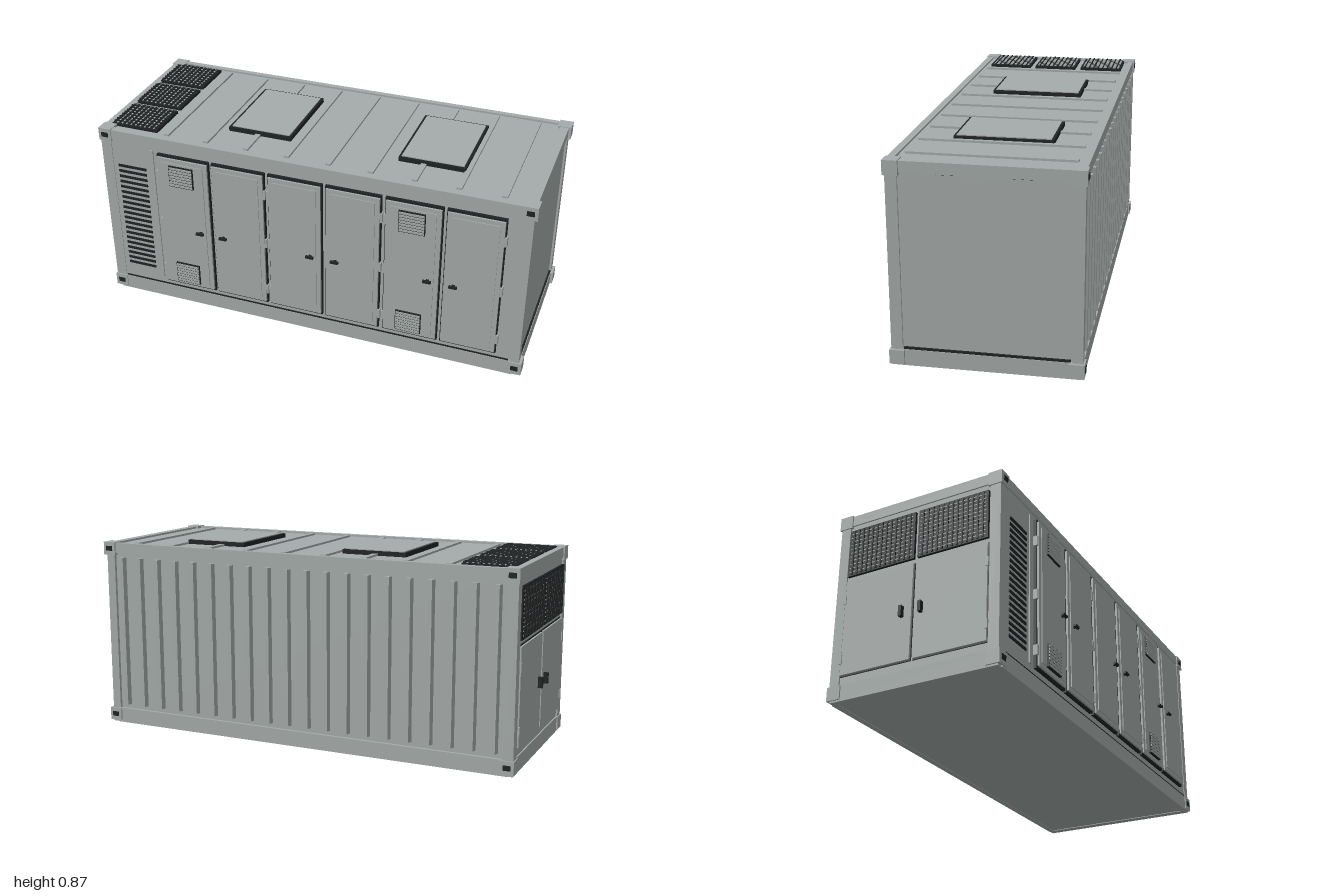
import * as THREE from 'three';

export function createModel() {
  const root = new THREE.Group();
  root.name = 'equipmentContainer';
  const grey = new THREE.MeshStandardMaterial({ color: 0xa5acaa });
  grey.name = 'panelGrey';
  const dark = new THREE.MeshStandardMaterial({ color: 0x202324 });
  dark.name = 'rubberBlack';

  // Box given by its min and max on each axis
  function box(name, mat, x0, x1, y0, y1, z0, z1, parent = root) {
    const m = new THREE.Mesh(new THREE.BoxGeometry(x1 - x0, y1 - y0, z1 - z0), mat);
    m.position.set((x0 + x1) / 2, (y0 + y1) / 2, (z0 + z1) / 2);
    m.name = name;
    parent.add(m);
    return m;
  }
  function group(name) {
    const g = new THREE.Group();
    g.name = name;
    root.add(g);
    return g;
  }

  // Shell and frame
  const frame = group('frame');
  box('shell', grey, -0.968, 0.976, 0.003, 0.848, -0.392, 0.365, frame);
  for (const [y0, y1] of [[0, 0.07], [0.81, 0.857]]) {
    box('frontRail', grey, -0.95, 0.96, y0, y1, 0.34, 0.37, frame);
    box('backRail', grey, -0.95, 0.96, y0, y1, -0.405, -0.38, frame);
    box('leftEndRail', grey, 0.95, 0.987, y0, y1, -0.40, 0.365, frame);
    box('rightEndRail', grey, -0.974, -0.94, y0, y1, -0.40, 0.365, frame);
  }
  for (const [x0, x1] of [[-0.975, -0.925], [0.945, 0.985]]) {
    box('frontPost', grey, x0, x1, 0.05, 0.82, 0.32, 0.368, frame);
    box('backPost', grey, x0, x1, 0.05, 0.82, -0.405, -0.36, frame);
  }

  // Corner castings with their lifting holes
  const corners = group('cornerCastings');
  for (const x0 of [-0.98, 0.938])
    for (const y0 of [0.008, 0.8])
      for (const front of [true, false]) {
        const z0 = front ? 0.312 : -0.412;
        box('casting', grey, x0, x0 + 0.06, y0, y0 + 0.06, z0, z0 + 0.062, corners);
        const zf = front ? 0.374 : -0.415;
        box('castingHole', dark, x0 + 0.014, x0 + 0.046, y0 + 0.02, y0 + 0.042, zf, zf + 0.003, corners);
      }

  // Dark seals above the lower rails and under the end header
  box('frontSeal', dark, -0.92, 0.938, 0.07, 0.077, 0.36, 0.368);
  box('leftEndSeal', dark, 0.97, 0.984, 0.07, 0.079, -0.355, 0.315);
  for (const z of [0.13, -0.17])
    box('headerSlot', dark, 0.97, 0.98, 0.807, 0.812, z - 0.04, z + 0.04);

  // Trapezoid ribs on the back wall
  const ribShape = new THREE.Shape([
    [-0.016, 0], [0.016, 0], [0.008, 0.019], [-0.008, 0.019],
  ].map(([x, y]) => new THREE.Vector2(x, y)));
  const ribGeo = new THREE.ExtrudeGeometry(ribShape, { depth: 0.7, bevelEnabled: false });
  ribGeo.rotateX(Math.PI / 2).rotateY(Math.PI).translate(0, 0.79, -0.391);
  const backRibs = group('backRibs');
  for (let i = 0; i < 20; i++) {
    const rib = new THREE.Mesh(ribGeo, grey);
    rib.name = 'backRib';
    rib.position.x = -0.89 + i * 0.0945;
    backRibs.add(rib);
  }

  // Low roof ribs
  const roof = group('roof');
  for (let i = 0; i < 9; i++) {
    const x = -0.67 + i * 0.19;
    box('roofRib', grey, x - 0.012, x + 0.012, 0.845, 0.857, -0.36, 0.32, roof);
  }

  // Roof hatches: dark rim around a plain lid
  for (const x0 of [-0.43, 0.357]) {
    const x1 = x0 + 0.295;
    box('hatchRim', dark, x0, x1, 0.845, 0.867, -0.232, 0.178, roof);
    box('hatchLid', grey, x0 + 0.011, x1 - 0.011, 0.86, 0.871, -0.221, 0.167, roof);
  }

  // Roof grilles
  for (const z0 of [-0.36, -0.127, 0.105]) {
    const z1 = z0 + 0.205;
    box('roofGrille', dark, -0.945, -0.72, 0.845, 0.86, z0, z1, roof);
    for (let i = 1; i < 10; i++) {
      const x = -0.945 + i * 0.0225;
      box('roofGrilleBar', grey, x - 0.003, x + 0.003, 0.857, 0.863, z0 + 0.01, z1 - 0.01, roof);
    }
    for (let i = 1; i < 9; i++) {
      const z = z0 + i * 0.0228;
      box('roofGrilleCrossBar', dark, -0.945, -0.72, 0.858, 0.865, z - 0.003, z + 0.003, roof);
    }
  }

  // Slotted air intake beside the front doors
  const intake = group('frontIntake');
  for (let i = 0; i < 20; i++) {
    const y = 0.155 + i * 0.0277;
    box('intakeSlot', dark, -0.9, -0.76, y - 0.006, y + 0.006, 0.36, 0.369, intake);
  }
  box('intakeTrim', grey, -0.735, -0.717, 0.11, 0.79, 0.36, 0.371, intake);

  // Louvre: dark block with thin pale slats
  function louvre(x, y, parent) {
    box('louvreBox', dark, x - 0.058, x + 0.058, y - 0.051, y + 0.051, 0.385, 0.4, parent);
    for (let i = 0; i < 7; i++) {
      const sy = y - 0.042 + i * 0.014;
      box('louvreSlat', grey, x - 0.055, x + 0.055, sy - 0.005, sy + 0.005, 0.397, 0.403, parent);
    }
  }

  // Six front doors in three pairs, hinged on their outer edges
  const starts = [-0.694, -0.431, -0.165, 0.1, 0.367, 0.631];
  starts.forEach((x0, i) => {
    const door = group('frontDoor');
    const x1 = x0 + 0.25;
    const leftHinge = i % 2 === 0;
    box('doorGasket', dark, x0, x1, 0.103, 0.785, 0.36, 0.379, door);
    box('doorPanel', grey, x0 + 0.005, x1 - 0.005, 0.113, 0.775, 0.377, 0.388, door);
    box('doorFace', grey, x0 + 0.025, x1 - 0.025, 0.133, 0.755, 0.385, 0.392, door);
    const hx = leftHinge ? x0 : x1;
    for (const y of [0.18, 0.43, 0.68])
      box('doorHinge', grey, hx - 0.006, hx + 0.006, y - 0.022, y + 0.022, 0.362, 0.386, door);
    const kx = leftHinge ? x1 - 0.05 : x0 + 0.05;
    box('doorHandle', dark, kx - 0.018, kx + 0.018, 0.416, 0.426, 0.4, 0.412, door);
    box('handleStem', dark, kx - 0.006, kx + 0.006, 0.416, 0.426, 0.385, 0.402, door);
    if (i === 0 || i === 4) {
      louvre(x0 + 0.122, 0.695, door);
      louvre(x0 + 0.122, 0.182, door);
    }
  });

  // End with twin doors below and twin grilles above
  const end = group('rightEnd');
  for (const s of [-1, 1]) {
    const a = -0.02 + s * 0.008, b = -0.02 + s * 0.335;
    const z0 = Math.min(a, b), z1 = Math.max(a, b);
    box('endDoorGasket', dark, -0.972, -0.96, 0.105, 0.54, z0 - 0.004, z1 + 0.004, end);
    box('endDoor', grey, -0.98, -0.965, 0.11, 0.535, z0, z1, end);
    for (const y of [0.18, 0.45])
      box('endHinge', grey, -0.984, -0.965, y - 0.02, y + 0.02, b - 0.006, b + 0.006, end);
    const h = -0.025 + s * 0.045;
    box('endHandle', dark, -1, -0.978, 0.3, 0.347, h - 0.007, h + 0.007, end);
    box('endGrille', dark, -0.98, -0.96, 0.56, 0.78, z0, z1, end);
    for (let i = 1; i < 12; i++) {
      const y = 0.56 + i * 0.0183;
      box('endGrilleSlat', grey, -0.982, -0.975, y - 0.002, y + 0.002, z0 + 0.01, z1 - 0.01, end);
    }
    for (let i = 1; i < 14; i++) {
      const z = z0 + i * (z1 - z0) / 14;
      box('endGrilleBar', dark, -0.985, -0.975, 0.565, 0.775, z - 0.004, z + 0.004, end);
    }
  }
  return root;
}
